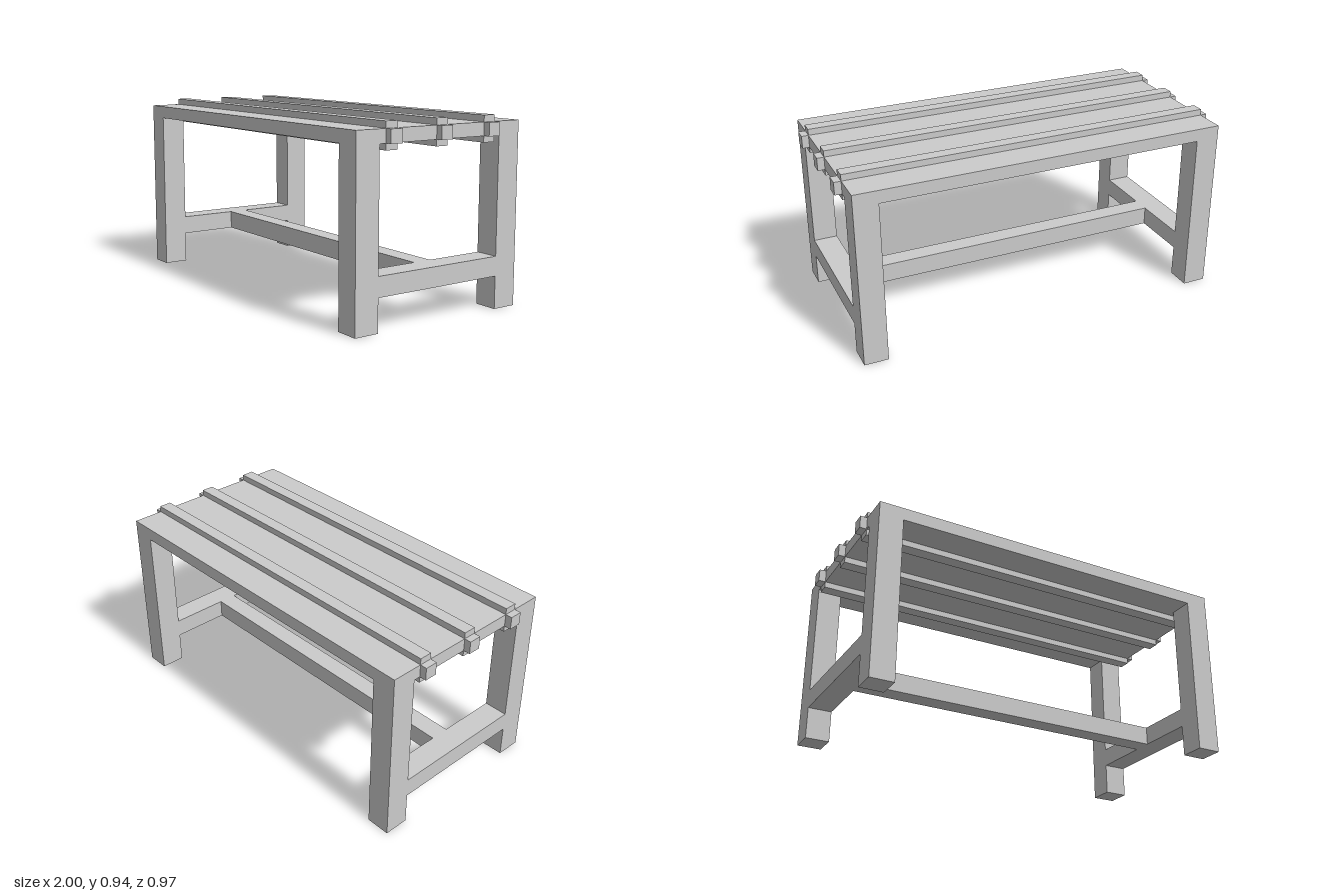
import * as THREE from 'three';

export function createModel() {
  const group = new THREE.Group();
  group.name = 'bench';
  const material = new THREE.MeshStandardMaterial({ color: 0xcccccc, flatShading: true });

  // Box given by its min and max on each axis
  const box = (name, [x0, x1], [y0, y1], [z0, z1]) => {
    const mesh = new THREE.Mesh(new THREE.BoxGeometry(x1 - x0, y1 - y0, z1 - z0), material);
    mesh.position.set((x0 + x1) / 2, (y0 + y1) / 2, (z0 + z1) / 2);
    mesh.name = name;
    group.add(mesh);
  };

  const outX = 0.965, inX = 0.842; // outer and inner faces of the legs
  const outZ = 0.483, inZ = 0.356;
  const seatY = [0.84, 0.905];
  const railY = [0.162, 0.259];

  // Seat board
  box('seat', [-outX, outX], seatY, [-outZ, outZ]);

  // Legs and the side rail joining each pair
  for (const [side, xs] of [['left', [inX, outX]], ['right', [-outX, -inX]]]) {
    box(side + 'FrontLeg', xs, [0, seatY[0]], [inZ, outZ]);
    box(side + 'BackLeg', xs, [0, seatY[0]], [-outZ, -inZ]);
    box(side + 'Rail', xs, railY, [-inZ, inZ]);
  }

  // Long stretcher between the side rails
  box('stretcher', [-inX, inX], railY, [-0.049, 0.049]);

  // Battens through the seat, with tenons at both ends
  for (const z of [-0.29, 0, 0.29]) {
    const zs = [z - 0.0325, z + 0.0325];
    box('batten', [-outX, outX], [0.809, 0.937], zs);
    box('leftTenon', [outX, 1], seatY, zs);
    box('rightTenon', [-1, -outX], seatY, zs);
  }

  return group;
}
